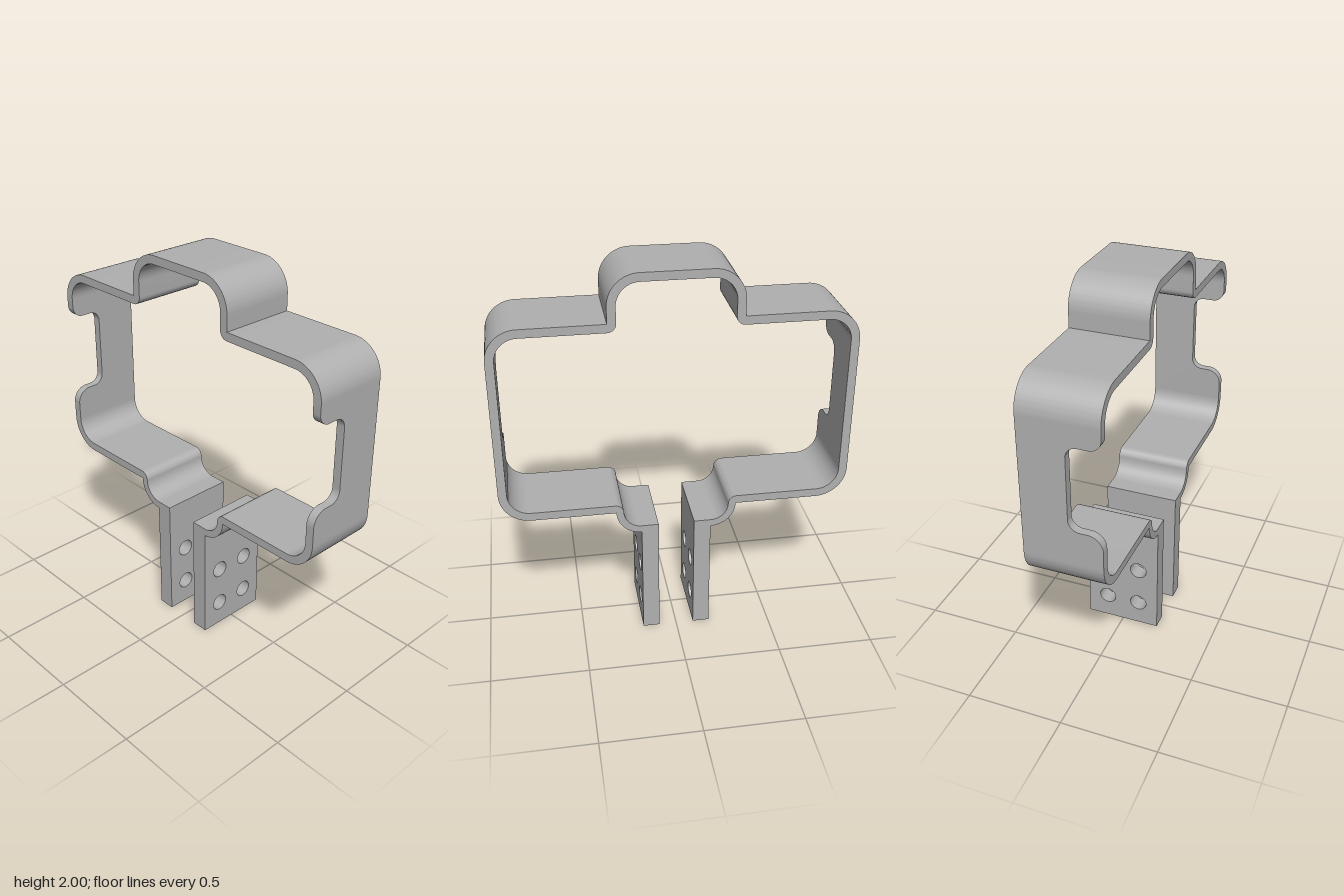
import * as THREE from 'three';
import { toCreasedNormals } from 'three/addons/utils/BufferGeometryUtils.js';

const PI = Math.PI;
const HALF_DEPTH = 0.196;          // strap half width along z
const OUT = 0.886, INN = 0.843;    // outer and inner faces of the side walls
const LOW = 0.898, HIGH = 1.609;   // ends of the straight side walls

// Remove the hidden faces lying on the seams between parts, then smooth the curves
function finish(geometry, axis = 1, seams = []) {
  const p = geometry.getAttribute('position');
  const kept = [];
  for (let i = 0; i < p.count; i += 3) {
    const onSeam = seams.some((s) =>
      [0, 1, 2].every((k) => Math.abs(p.getComponent(i + k, axis) - s) < 1e-5));
    if (onSeam) continue;
    for (let k = 0; k < 3; k++) kept.push(p.getX(i + k), p.getY(i + k), p.getZ(i + k));
  }
  const clean = new THREE.BufferGeometry();
  clean.setAttribute('position', new THREE.Float32BufferAttribute(kept, 3));
  return toCreasedNormals(clean, 0.5);
}

// Extrude a front profile through the strap width
function extrudeFront(points) {
  const g = new THREE.ExtrudeGeometry(new THREE.Shape(points),
    { depth: 2 * HALF_DEPTH, bevelEnabled: false });
  return g.translate(0, 0, -HALF_DEPTH);
}

// Extrude a side profile (drawn with the front at -x) between two x positions
function extrudeSide(shape, x0, x1) {
  const g = new THREE.ExtrudeGeometry(shape,
    { depth: x1 - x0, bevelEnabled: false, curveSegments: 16 });
  return g.rotateY(PI / 2).translate(x0, 0, 0);
}

const mirror = (pts) => pts.map((p) => new THREE.Vector2(-p.x, p.y));

// Upper band: raised middle, shoulders and rounded corners
function upperBand() {
  const outer = new THREE.Path();
  outer.moveTo(0, 2);
  outer.lineTo(0.169, 2);
  outer.absarc(0.169, 1.845, 0.155, PI / 2, 0, true);
  outer.lineTo(0.324, 1.764);
  outer.lineTo(0.731, 1.764);
  outer.absarc(0.731, HIGH, 0.155, PI / 2, 0, true);

  const inner = new THREE.Path();
  inner.moveTo(0, 1.957);
  inner.lineTo(0.169, 1.957);
  inner.absarc(0.169, 1.845, 0.112, PI / 2, 0, true);
  inner.lineTo(0.281, 1.764);
  inner.absarc(0.324, 1.764, 0.043, PI, PI * 1.5, false);
  inner.lineTo(0.731, 1.721);
  inner.absarc(0.731, HIGH, 0.112, PI / 2, 0, true);

  const o = outer.getPoints(16), i = inner.getPoints(16);
  const outline = [
    ...mirror(o).reverse(), ...o.slice(1),
    ...i.slice().reverse(), ...mirror(i).slice(1),
  ];
  return finish(extrudeFront(outline), 1, [HIGH]);
}

// Lower band on one side: rounded corner, floor and S-bend down to the tab
function lowerBand(side) {
  const s = new THREE.Path();
  s.moveTo(OUT, LOW);
  s.absarc(0.731, LOW, 0.155, 0, -PI / 2, true);
  s.lineTo(0.307, 0.743);
  s.absarc(0.179, 0.743, 0.128, 0, -PI / 2, true);
  s.lineTo(0.179, 0.653);
  s.absarc(0.179, 0.743, 0.09, -PI / 2, 0, false);
  s.absarc(0.312, 0.743, 0.043, PI, PI / 2, true);
  s.lineTo(0.731, 0.786);
  s.absarc(0.731, LOW, 0.112, -PI / 2, 0, false);
  const pts = s.getPoints(16);
  return finish(extrudeFront(side > 0 ? pts : mirror(pts)), 1, [LOW]);
}

// Straight side wall with a rounded notch cut into its front edge
function sideWall(side) {
  const w = HALF_DEPTH;
  const s = new THREE.Shape();
  s.moveTo(-w, LOW);
  s.lineTo(w, LOW);
  s.lineTo(w, HIGH);
  s.lineTo(-w, HIGH);
  s.lineTo(-w, 1.56);
  s.absarc(-w + 0.06, 1.56, 0.06, PI, PI * 1.5, false);
  s.lineTo(-0.086, 1.5);
  s.absarc(-0.086, 1.444, 0.056, PI / 2, 0, true);
  s.lineTo(-0.03, 1.128);
  s.absarc(-0.086, 1.128, 0.056, 0, -PI / 2, true);
  s.lineTo(-w + 0.075, 1.072);
  s.absarc(-w + 0.075, 0.997, 0.075, PI / 2, PI, false);
  s.lineTo(-w, LOW);
  const [x0, x1] = side > 0 ? [INN, OUT] : [-OUT, -INN];
  return finish(extrudeSide(s, x0, x1), 1, [LOW, HIGH]);
}

// Thick mounting tab with four bolt holes
function mountingTab(side) {
  const w = HALF_DEPTH, top = 0.653;
  const s = new THREE.Shape();
  s.moveTo(-w, 0);
  s.lineTo(w, 0);
  s.lineTo(w, top);
  s.lineTo(-w, top);
  s.closePath();
  for (const z of [-0.088, 0.088]) {
    for (const y of [0.133, 0.35]) {
      const hole = new THREE.Path();
      hole.absarc(z, y, 0.045, 0, PI * 2, true);
      s.holes.push(hole);
    }
  }
  const [x0, x1] = side > 0 ? [0.092, 0.179] : [-0.179, -0.092];
  return finish(extrudeSide(s, x0, x1));
}

export function createModel() {
  const group = new THREE.Group();
  group.name = 'clampBracket';
  const steel = new THREE.MeshStandardMaterial({ color: 0xb0b0b0 });
  steel.name = 'grey metal';

  const add = (name, geometry) => {
    const mesh = new THREE.Mesh(geometry, steel);
    mesh.name = name;
    group.add(mesh);
  };

  add('upperBand', upperBand());
  for (const [label, side] of [['left', 1], ['right', -1]]) {
    add(`${label}SideWall`, sideWall(side));
    add(`${label}LowerBand`, lowerBand(side));
    add(`${label}MountingTab`, mountingTab(side));
  }
  return group;
}
